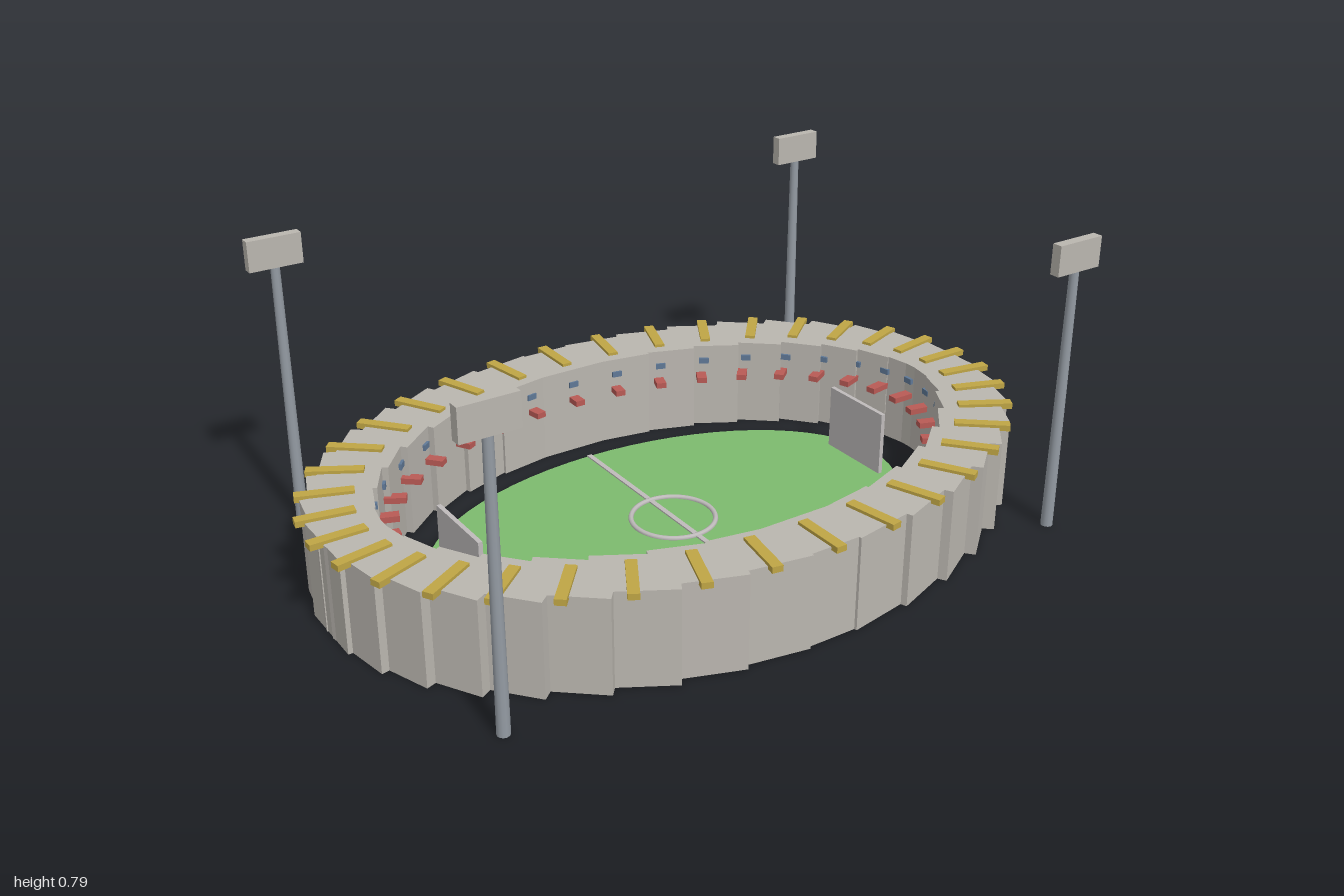
import * as THREE from 'three';

const material = (name, color) => {
  const m = new THREE.MeshStandardMaterial({ color });
  m.name = name;
  return m;
};

export function createModel() {
  const model = new THREE.Group();
  model.name = 'stadium';

  const concrete = material('concrete', 0xbab6af);
  const grass = material('grass', 0x7dbb6e);
  const paint = material('linePaint', 0xbfbbbb);
  const steel = material('steel', 0x949ba3);
  const gold = material('goldSeats', 0xbfa545);
  const blue = material('blueSeats', 0x5f7896);
  const red = material('redSeats', 0xb95a55);

  const add = (parent, name, geometry, mat, x = 0, y = 0, z = 0) => {
    const mesh = new THREE.Mesh(geometry, mat);
    mesh.name = name;
    mesh.position.set(x, y, z);
    parent.add(mesh);
    return mesh;
  };

  // Repeats a box around an ellipse, turned by the ellipse's angle
  const COUNT = 36;
  const ring = (name, size, mat, a, b, y) => {
    const group = new THREE.Group();
    group.name = name + 'Ring';
    const geometry = new THREE.BoxGeometry(...size);
    for (let i = 0; i < COUNT; i++) {
      const t = (i / COUNT) * Math.PI * 2;
      add(group, name, geometry, mat, a * Math.sin(t), y, b * Math.cos(t)).rotation.y = t;
    }
    model.add(group);
  };

  // Stand blocks and three stepped rows of seats set into them
  ring('stand', [0.2, 0.25, 0.155], concrete, 0.888, 0.587, 0.125);
  ring('lowerSeat', [0.028, 0.016, 0.145], red, 0.821, 0.543, 0.16);
  ring('middleSeat', [0.028, 0.016, 0.145], blue, 0.874, 0.577, 0.205);
  ring('upperSeat', [0.028, 0.016, 0.145], gold, 0.927, 0.613, 0.25);

  // Oval pitch with its markings
  add(model, 'pitch', new THREE.CylinderGeometry(1, 1, 0.01, 64), grass, 0, 0.005, 0).scale.set(0.69, 1, 0.43);
  add(model, 'halfwayLine', new THREE.BoxGeometry(0.014, 0.006, 0.86), paint, 0, 0.011, 0);
  add(model, 'centreCircle', new THREE.TorusGeometry(0.112, 0.007, 8, 48), paint, 0, 0.012, 0).rotation.x = Math.PI / 2;

  // Goals and corner floodlights
  for (const sx of [-1, 1]) {
    add(model, 'goal', new THREE.BoxGeometry(0.012, 0.19, 0.22), paint, sx * 0.62, 0.095, 0);
    for (const sz of [-1, 1]) {
      const light = new THREE.Group();
      light.name = 'floodlight';
      light.position.set(sx * 0.81, 0, sz * 0.56);
      add(light, 'pole', new THREE.CylinderGeometry(0.012, 0.016, 0.72, 12), steel, 0, 0.36, 0);
      add(light, 'lampPanel', new THREE.BoxGeometry(0.14, 0.08, 0.027), concrete, 0, 0.753, 0);
      model.add(light);
    }
  }
  return model;
}
